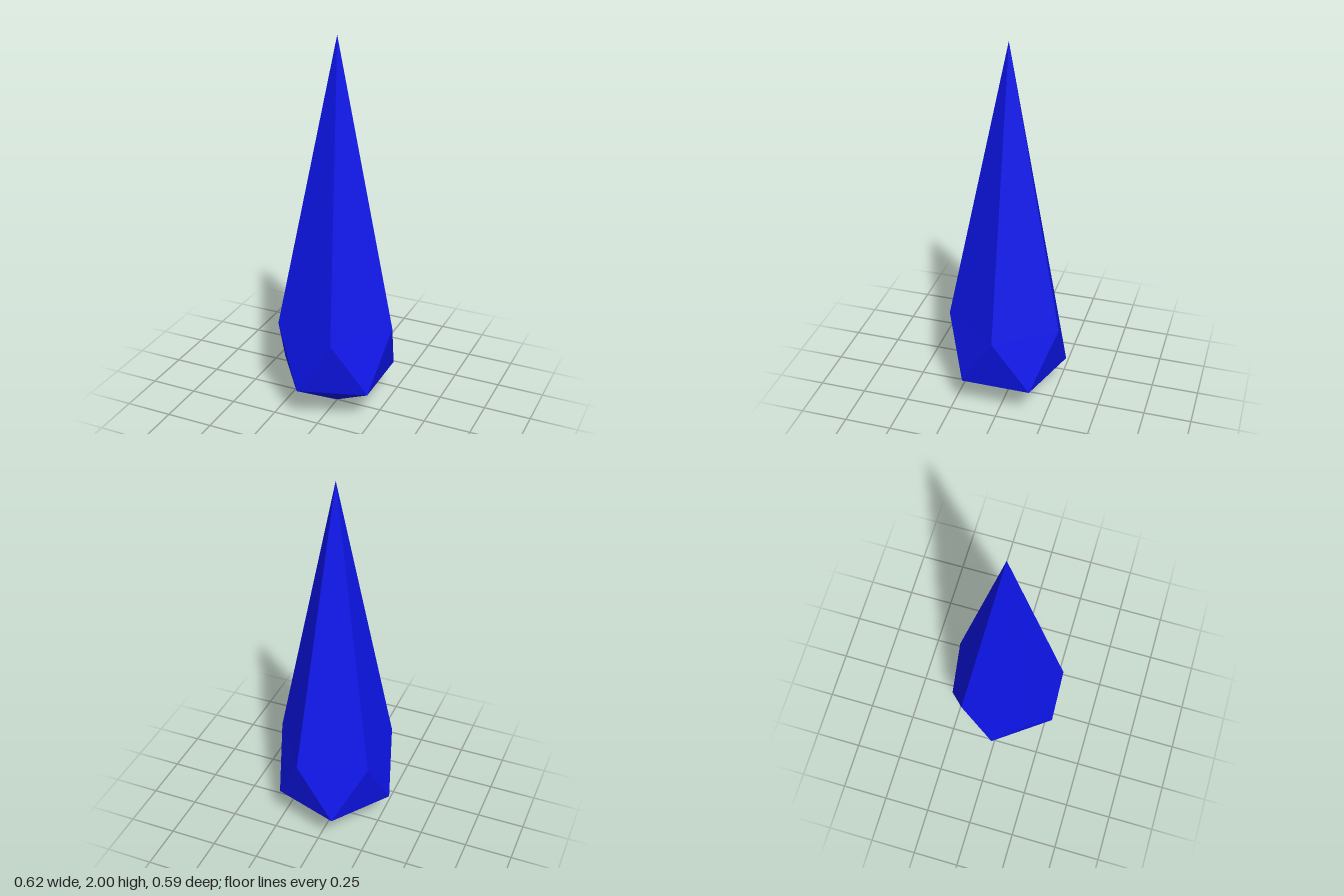
import * as THREE from 'three';

const SIDES = 5;
const RADIUS = 0.31;

// Five-sided ring of points at height y, turned by a number of steps
function ring(y, turn) {
  return Array.from({ length: SIDES }, (_, i) => {
    const a = ((i + turn) / SIDES) * Math.PI * 2;
    return new THREE.Vector3(RADIUS * Math.cos(a), y, RADIUS * Math.sin(a));
  });
}

export function createModel() {
  const group = new THREE.Group();
  group.name = 'crystalShard';

  // Two staggered rings between a tall tip and a short lower point
  const tip = new THREE.Vector3(0, 2, 0);
  const base = new THREE.Vector3(0, 0, 0);
  const upper = ring(0.505, 0);
  const lower = ring(0.197, 0.5);

  const corners = [];
  for (let i = 0; i < SIDES; i++) {
    const next = (i + 1) % SIDES;
    corners.push(
      tip, upper[next], upper[i], // long upper facet
      upper[i], upper[next], lower[i], // girdle facet pointing down
      lower[next], lower[i], upper[next], // girdle facet pointing up
      base, lower[i], lower[next], // underside facet
    );
  }

  const geometry = new THREE.BufferGeometry().setFromPoints(corners);
  geometry.computeVertexNormals();
  const material = new THREE.MeshStandardMaterial({ color: 0x0d15ea, flatShading: true });
  const crystal = new THREE.Mesh(geometry, material);
  crystal.name = 'crystal';
  group.add(crystal);
  return group;
}
